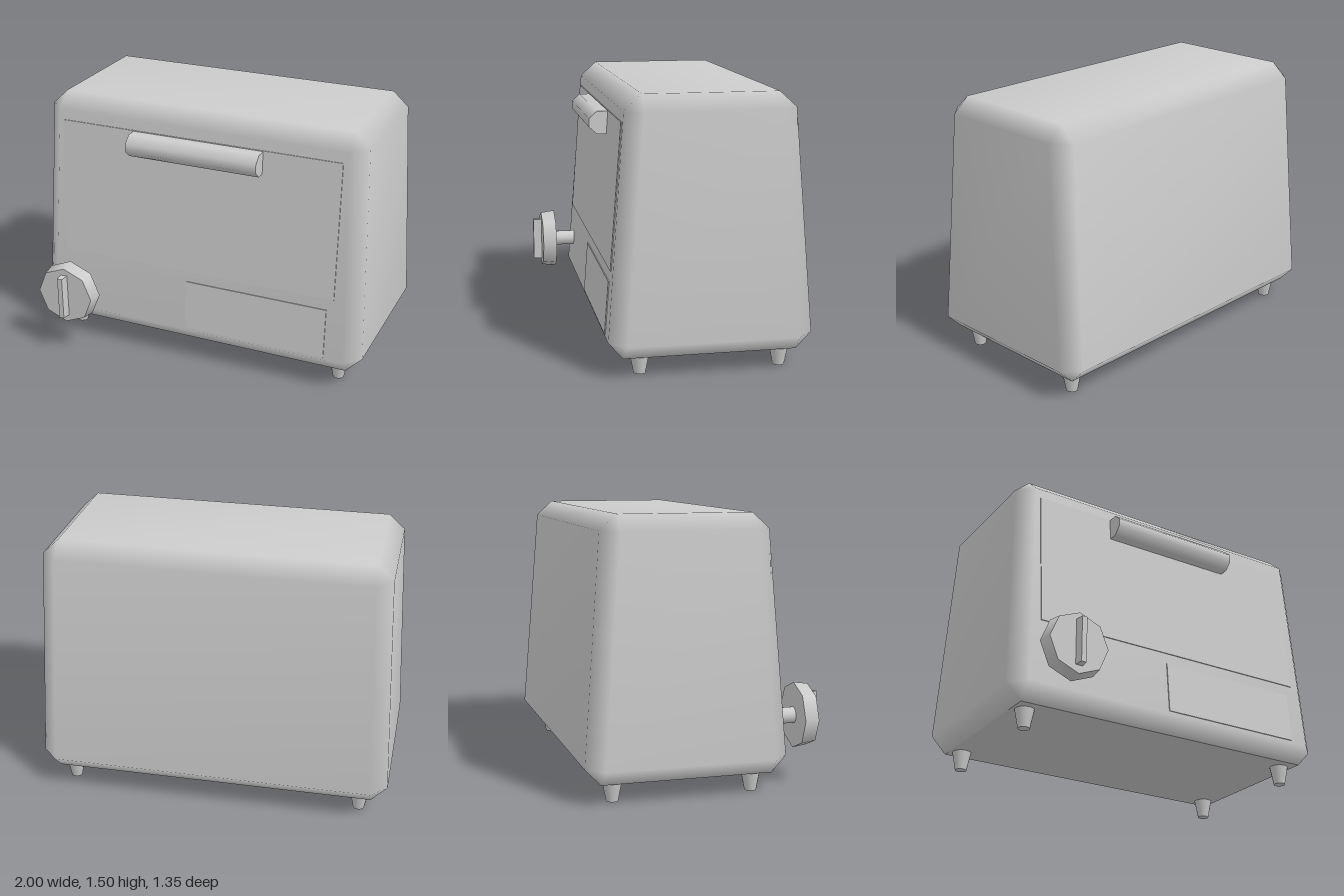
import * as THREE from 'three';
import { mergeVertices } from 'three/addons/utils/BufferGeometryUtils.js';

// Body sections: y, half width, back z, front z, corner chamfer
const SECTIONS = [
  [0.105, 0.91, -0.59, 0.35, 0],
  [0.195, 1.0, -0.675, 0.43, 0.09],
  [1.41, 0.955, -0.58, 0.335, 0.09],
  [1.495, 0.865, -0.485, 0.24, 0],
];
const LEAN = Math.atan(0.095 / 1.215);
const frontZ = (y) => 0.43 - (y - 0.195) * Math.tan(LEAN);

// Tapered shell with chamfered edges and smooth shading
function shellGeometry() {
  const pos = [];
  const index = [];
  for (const [y, w, b, f, c] of SECTIONS) {
    const ring = [
      [c - w, f], [w - c, f], [w, f - c], [w, b + c],
      [w - c, b], [c - w, b], [-w, b + c], [-w, f - c],
    ];
    for (const [x, z] of ring) pos.push(x, y, z);
  }
  for (let k = 0; k < 3; k++) {
    for (let i = 0; i < 8; i++) {
      const a = k * 8 + i;
      const b = k * 8 + ((i + 1) % 8);
      index.push(a, b, b + 8, a, b + 8, a + 8);
    }
  }
  index.push(24, 25, 27, 24, 27, 29); // top
  let geo = new THREE.BufferGeometry();
  geo.setAttribute('position', new THREE.Float32BufferAttribute(pos, 3));
  geo.setIndex(index);
  geo = mergeVertices(geo);
  geo.computeVertexNormals();
  return geo;
}

export function createModel() {
  const group = new THREE.Group();
  const grey = new THREE.MeshStandardMaterial({ color: 0xcccccc });
  grey.name = 'light grey';

  const add = (name, geo, x = 0, y = 0, z = 0, parent = group) => {
    const mesh = new THREE.Mesh(geo, grey);
    mesh.name = name;
    mesh.position.set(x, y, z);
    parent.add(mesh);
    return mesh;
  };

  // Body
  add('body', shellGeometry());
  const [by, bw, bb, bf] = SECTIONS[0];
  add('underside', new THREE.PlaneGeometry(bw * 2, bf - bb), 0, by, (bb + bf) / 2)
    .rotation.x = Math.PI / 2;

  // Thin plates lying on the leaning front
  const plate = (name, x0, x1, y0, y1) => {
    const y = (y0 + y1) / 2;
    const geo = new THREE.BoxGeometry(x1 - x0, (y1 - y0) / Math.cos(LEAN), 0.009);
    add(name, geo, (x0 + x1) / 2, y, frontZ(y) + 0.001).rotation.x = -LEAN;
  };
  plate('door', -0.84, 0.84, 0.565, 1.35);
  plate('controlPanel', -0.05, 0.8, 0.21, 0.5);

  // Door handle: a bar with a bevelled front, smooth along its length
  const profile = [
    [0.335, 1.22], [0.405, 1.22], [0.45, 1.26],
    [0.45, 1.307], [0.405, 1.347], [0.335, 1.347],
  ];
  const shape = new THREE.Shape(profile.map(([z, y]) => new THREE.Vector2(-z, y)));
  const bar = new THREE.ExtrudeGeometry(shape, { depth: 0.78, bevelEnabled: false });
  bar.rotateY(Math.PI / 2);
  bar.translate(-0.39, 0, 0);
  // Round the shading of the long sides
  const p = bar.attributes.position;
  const n = bar.attributes.normal;
  for (let i = 0; i < p.count; i++) {
    if (Math.abs(n.getX(i)) > 0.5 || p.getZ(i) < 0.34) continue;
    const v = new THREE.Vector3(0, p.getY(i) - 1.2835, p.getZ(i) - 0.385).normalize();
    n.setXYZ(i, 0, v.y, v.z);
  }
  add('handle', bar);

  // Timer knob on its shaft, with a tapered grip
  const knob = new THREE.Group();
  knob.name = 'knob';
  knob.position.set(-0.73, 0.37, 0);
  group.add(knob);
  const shaft = new THREE.CylinderGeometry(0.045, 0.045, 0.15, 16);
  add('knobShaft', shaft.rotateX(Math.PI / 2), 0, 0, 0.47, knob);
  const dial = new THREE.CylinderGeometry(0.172, 0.184, 0.083, 8);
  add('knobDial', dial.rotateX(Math.PI / 2), 0, 0, 0.583, knob);
  const grip = new THREE.BoxGeometry(0.042, 0.255, 0.055);
  const g = grip.attributes.position;
  for (let i = 0; i < g.count; i++) if (g.getZ(i) > 0) g.setX(i, g.getX(i) * 0.7);
  grip.computeVertexNormals();
  add('knobGrip', grip, 0, 0.002, 0.6475, knob);

  // Four tapered feet
  for (const x of [-0.84, 0.84]) {
    for (const z of [0.253, -0.515]) {
      add('foot', new THREE.CylinderGeometry(0.053, 0.032, 0.106, 16), x, 0.053, z);
    }
  }
  return group;
}
